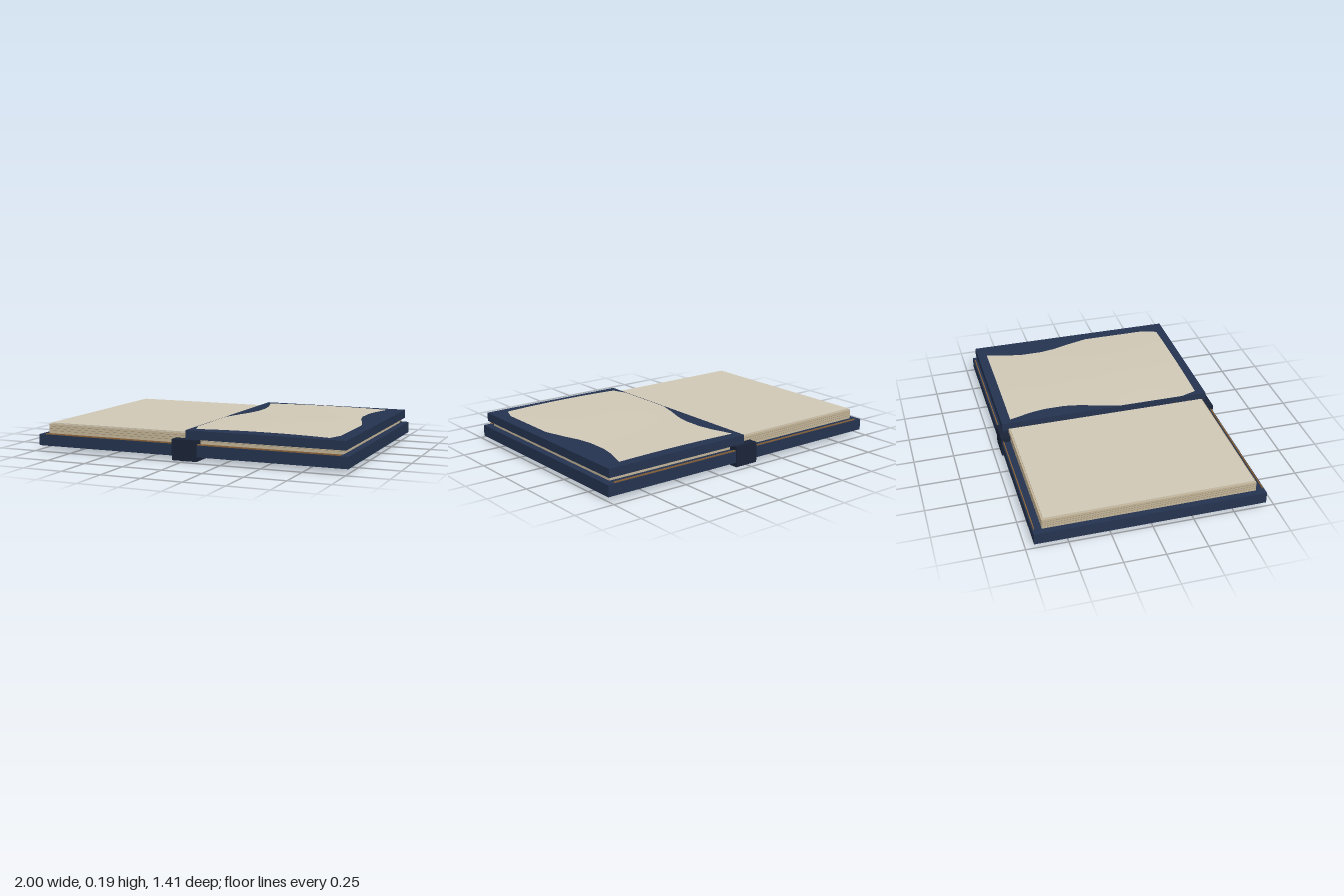
import * as THREE from 'three';

const mat = (color, extra = {}) => new THREE.MeshStandardMaterial({ color, ...extra });

export function createModel() {
  const book = new THREE.Group();
  book.name = 'openBook';
  const navy = mat(0x24334f), darkNavy = mat(0x1a2438), paper = mat(0xd0c8b5);
  const pageEdge = mat(0xc4b598), line = mat(0x8f826a), bronze = mat(0x8a6238);

  const add = (name, geometry, material) => {
    const mesh = new THREE.Mesh(geometry, material);
    mesh.name = name;
    book.add(mesh);
    return mesh;
  };
  // Box given by its limits in x and y, and its half depth in z
  const slab = (name, x0, x1, y0, y1, hz, material) => {
    const mesh = add(name, new THREE.BoxGeometry(x1 - x0, y1 - y0, 2 * hz), material);
    mesh.position.set((x0 + x1) / 2, (y0 + y1) / 2, 0);
    return mesh;
  };

  // Binding
  slab('coverBoard', -1, 1, 0.03, 0.1, 0.7, navy);
  slab('spine', -0.08, 0.08, 0.003, 0.13, 0.705, darkNavy);

  // Page blocks, with thin lines for the leaves
  slab('leftPages', -0.96, -0.025, 0.1, 0.16, 0.645, pageEdge);
  slab('leftTopPage', -0.95, -0.035, 0.16, 0.167, 0.635, paper);
  slab('rightPages', 0, 0.955, 0.1, 0.13, 0.645, pageEdge);
  for (const y of [0.117, 0.131, 0.145]) {
    slab('leftLeafLine', -0.9605, -0.0245, y, y + 0.0015, 0.6455, line);
  }
  slab('rightLeafLine', 0, 0.9555, 0.117, 0.1185, 0.6455, line);

  // Raised board on the right
  slab('raisedBoard', 0, 0.98, 0.13, 0.184, 0.68, navy);

  // Fine trim along the front and back of the cover, and stitches in the gutter
  for (const s of [-1, 1]) {
    const trim = add('coverTrim', new THREE.BoxGeometry(1.91, 0.008, 0.006), bronze);
    trim.position.set(0, 0.104, s * 0.69);
  }
  for (const z of [-0.565, -0.48, 0.47, 0.555]) {
    const stitch = add('stitch', new THREE.TorusGeometry(0.022, 0.004, 6, 12, Math.PI), bronze);
    stitch.position.set(-0.012, 0.125, z);
  }

  // Gently curved sheet: rows of [z, half width, crown height]
  const rows = [
    [-0.62, 0.415, 0.190], [-0.56, 0.397, 0.190], [-0.48, 0.372, 0.190], [-0.38, 0.355, 0.189],
    [-0.25, 0.355, 0.189], [-0.15, 0.373, 0.190], [-0.04, 0.41, 0.192], [0.1, 0.448, 0.195],
    [0.2, 0.448, 0.197], [0.42, 0.448, 0.195], [0.52, 0.448, 0.193], [0.62, 0.413, 0.192],
  ];
  const cols = 12;
  const sheet = new THREE.PlaneGeometry(1, 1, cols, rows.length - 1);
  const p = sheet.attributes.position;
  for (let i = 0; i < p.count; i++) {
    const [z, half, crown] = rows[Math.floor(i / (cols + 1))];
    const u = 2 * p.getX(i);
    p.setXYZ(i, 0.454 + u * half, 0.1845 + (crown - 0.1845) * (1 - u * u), z);
  }
  sheet.computeVertexNormals();
  add('curvedPage', sheet, mat(0xd0c8b5, { side: THREE.DoubleSide }));

  return book;
}
